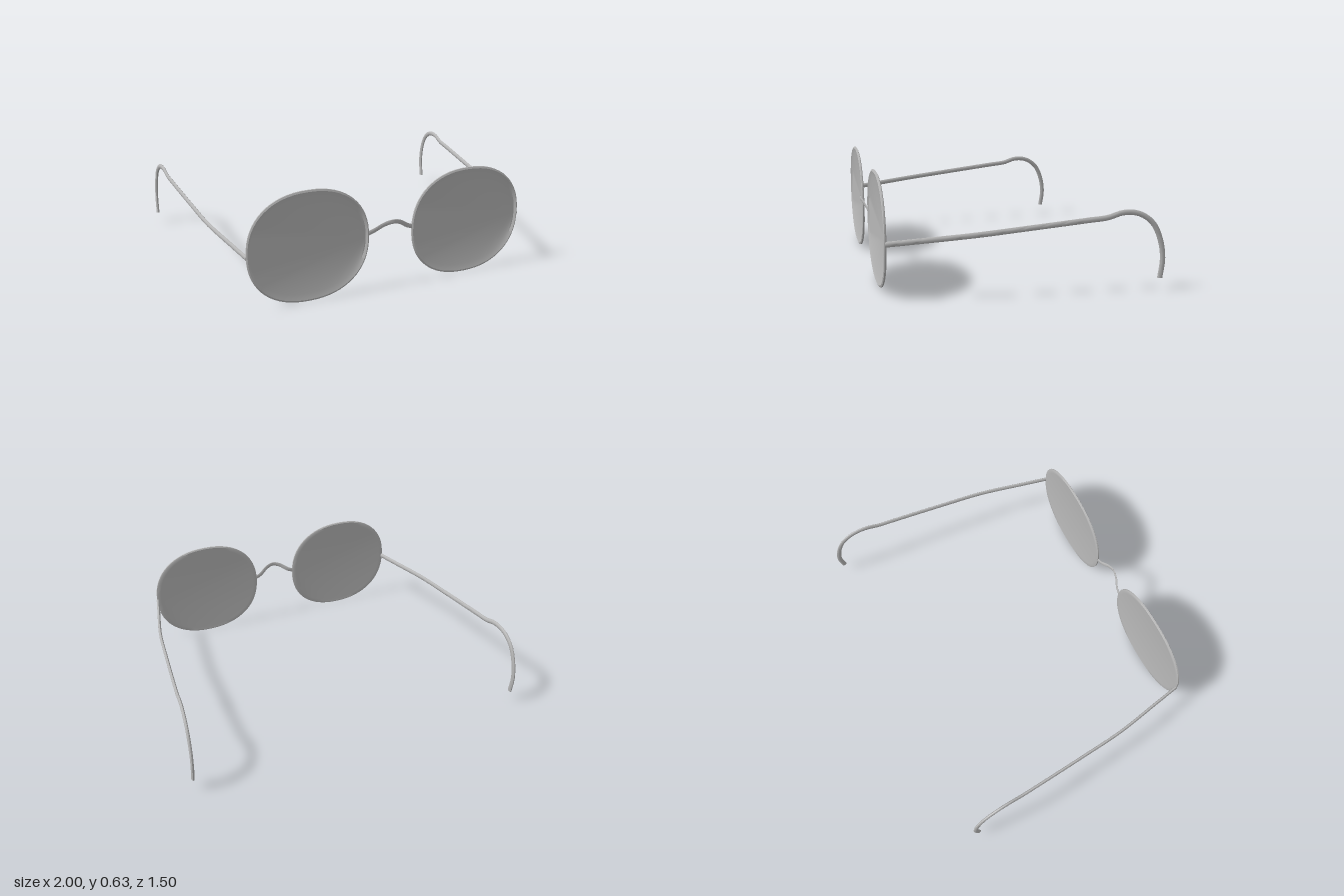
import * as THREE from 'three';
import { toCreasedNormals } from 'three/addons/utils/BufferGeometryUtils.js';

// Skins equal-length rings of points and caps both ends
function skin(rings) {
  const n = rings[0].length, pos = [], idx = [];
  rings.forEach(r => r.forEach(p => pos.push(p.x, p.y, p.z)));
  for (let i = 0; i < rings.length - 1; i++) {
    for (let j = 0; j < n; j++) {
      const a = i * n + j, b = i * n + (j + 1) % n;
      idx.push(a, b, a + n, b, b + n, a + n);
    }
  }
  const last = (rings.length - 1) * n;
  for (let j = 1; j < n - 1; j++) {
    idx.push(0, j + 1, j, last, last + j, last + j + 1);
  }
  const g = new THREE.BufferGeometry();
  g.setAttribute('position', new THREE.Float32BufferAttribute(pos, 3));
  g.setIndex(idx);
  return toCreasedNormals(g, 0.6);
}

// Sweeps an oval section along a curve; "side" is the thin direction
function sweep(points, side, thin, tall, steps) {
  const curve = new THREE.CatmullRomCurve3(points.map(p => new THREE.Vector3(...p)), false, 'centripetal');
  const rings = [];
  for (let i = 0; i <= steps; i++) {
    const p = curve.getPointAt(i / steps), t = curve.getTangentAt(i / steps);
    const s = side.clone().addScaledVector(t, -side.dot(t)).normalize();
    const up = t.clone().cross(s);
    const ring = [];
    for (let k = 0; k < 10; k++) {
      const a = k / 10 * Math.PI * 2;
      ring.push(p.clone().addScaledVector(s, Math.cos(a) * thin).addScaledVector(up, Math.sin(a) * tall));
    }
    rings.push(ring);
  }
  return skin(rings);
}

// Rounded lens outline, slightly squarer than an ellipse
function lensRing(rx, ry, z) {
  const ring = [], e = 2 / 2.25;
  for (let k = 0; k < 64; k++) {
    const a = k / 64 * Math.PI * 2, c = Math.cos(a), s = Math.sin(a);
    ring.push(new THREE.Vector3(
      Math.sign(c) * Math.abs(c) ** e * rx, Math.sign(s) * Math.abs(s) ** e * ry, z));
  }
  return ring;
}

export function createModel() {
  const model = new THREE.Group();
  const metal = new THREE.MeshStandardMaterial({ color: 0xb8b8b8 });
  metal.name = 'silver grey';
  const add = (name, geometry) => {
    const mesh = new THREE.Mesh(geometry, metal);
    mesh.name = name;
    model.add(mesh);
    return mesh;
  };

  // Lens with rim: back face, outer edge, front lip, dished front
  const lens = skin([
    lensRing(0.318, 0.29, -0.005), lensRing(0.336, 0.308, -0.007),
    lensRing(0.345, 0.315, -0.003), lensRing(0.345, 0.315, 0.004),
    lensRing(0.338, 0.305, 0.008), lensRing(0.328, 0.272, -0.002),
  ]);

  // Ear piece path from the hinge back to the hooked tip
  const earPath = [
    [0.815, 0.305, 0.715], [0.845, 0.319, 0.56], [0.9, 0.346, 0.27], [0.928, 0.372, 0],
    [0.957, 0.403, -0.32], [0.966, 0.414, -0.43], [0.971, 0.435, -0.5], [0.975, 0.437, -0.56],
    [0.979, 0.419, -0.62], [0.983, 0.37, -0.68], [0.986, 0.28, -0.722],
    [0.989, 0.18, -0.738], [0.991, 0.073, -0.725],
  ];

  for (const [label, s] of [['left', 1], ['right', -1]]) {
    add(label + 'Lens', lens).position.set(s * 0.475, 0.315, 0.714);
    add(label + 'EarPiece', sweep(earPath.map(([x, y, z]) => [s * x, y, z]),
      new THREE.Vector3(1, 0, 0), 0.009, 0.015, 64));
  }

  // Thin arched nose bridge
  const half = [[0.14, 0.329, 0.714], [0.1, 0.345, 0.718], [0.045, 0.38, 0.737]];
  add('bridge', sweep([
    ...half.map(([x, y, z]) => [-x, y, z]), [0, 0.391, 0.745], ...half.slice().reverse(),
  ], new THREE.Vector3(0, 0, 1), 0.004, 0.013, 32));

  return model;
}
